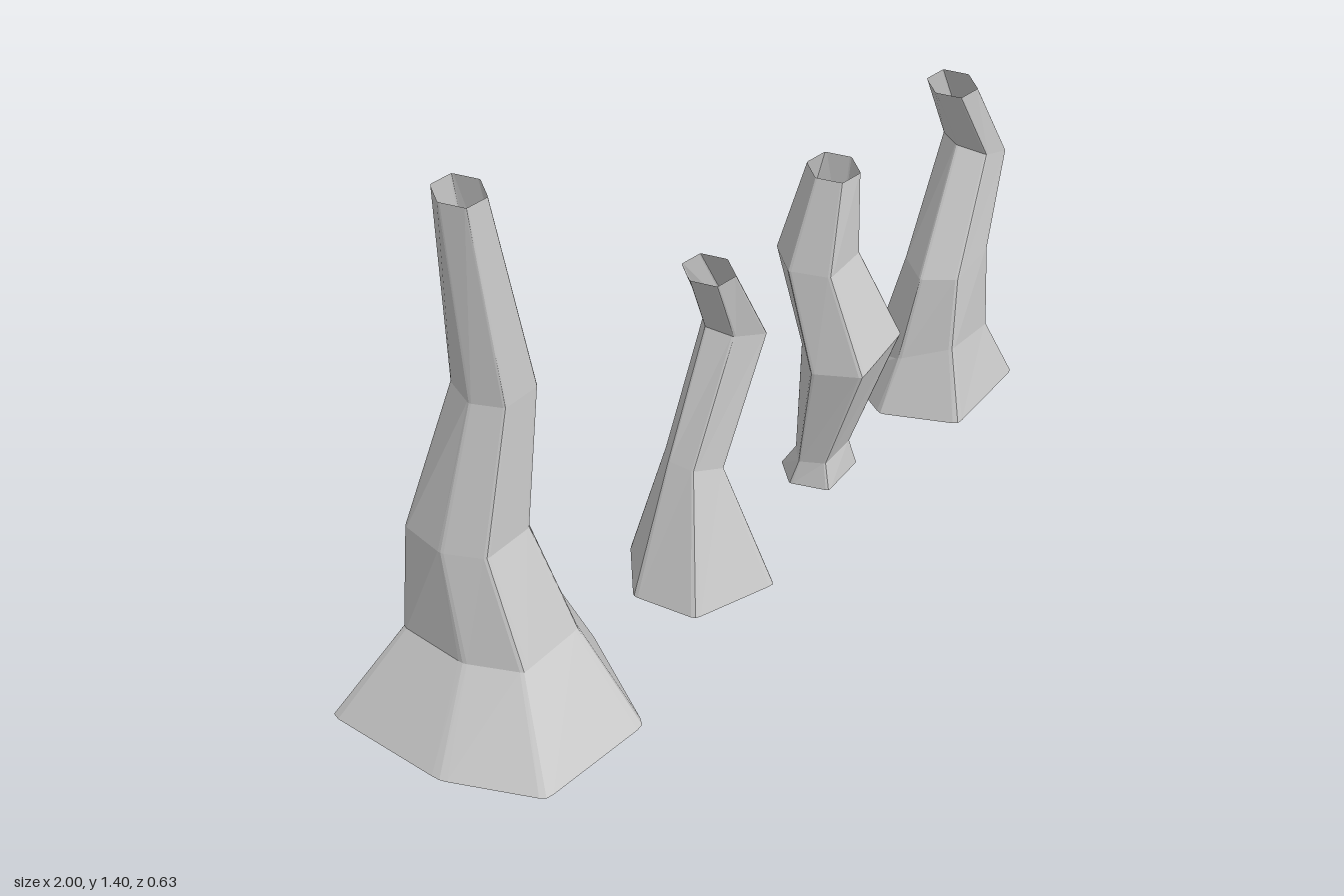
import * as THREE from 'three';

const material = new THREE.MeshStandardMaterial({ color: 0xcccccc, flatShading: true, side: THREE.DoubleSide });

// Scale an outline so that it fills the unit square
function normalise(points) {
  const box = new THREE.Box2().setFromPoints(points);
  const size = box.getSize(new THREE.Vector2());
  return points.map(p => p.clone().sub(box.min).divide(size));
}

const hexagon = normalise([0, 1, 2, 3, 4, 5].map(i =>
  new THREE.Vector2(-Math.cos(i * Math.PI / 3), -Math.sin(i * Math.PI / 3))));

// Replace each corner of a closed ring by a small three-point bevel
function bevelCorners(ring) {
  const n = ring.length, out = [];
  ring.forEach((p, i) => {
    const a = p.clone().lerp(ring[(i + n - 1) % n], 0.07);
    const b = p.clone().lerp(ring[(i + 1) % n], 0.07);
    const mid = a.clone().add(b).multiplyScalar(0.5).lerp(p, 0.6);
    out.push(a, mid, b);
  });
  return out;
}

// base: six ground points [x, z]
// rings: [y at left, y at right, xMin, xMax, zMin, zMax, rise toward the front]
function trunk(name, base, rings) {
  const ground = base.map(([x, z]) => new THREE.Vector2(x, z));
  const unit = normalise(ground);
  const loops = [ground.map(p => new THREE.Vector3(p.x, 0, p.y))];
  rings.forEach(([yl, yr, x0, x1, z0, z1, rise = 0], k) => {
    const blend = ((k + 1) / rings.length) ** 2;
    loops.push(unit.map((p, i) => {
      const q = p.clone().lerp(hexagon[i], blend);
      const y = THREE.MathUtils.lerp(yl, yr, q.x) + rise * (q.y - 0.5);
      return new THREE.Vector3(
        THREE.MathUtils.lerp(x0, x1, q.x), y, THREE.MathUtils.lerp(z0, z1, q.y));
    }));
  });

  const bevelled = loops.map(bevelCorners);
  const n = bevelled[0].length, index = [];
  for (let k = 0; k < bevelled.length - 1; k++) {
    for (let i = 0; i < n; i++) {
      const a = k * n + i, b = k * n + (i + 1) % n;
      index.push(b, a, a + n, b, a + n, b + n);
    }
  }
  const geometry = new THREE.BufferGeometry().setFromPoints(bevelled.flat());
  geometry.setIndex(index);
  geometry.computeVertexNormals();
  const mesh = new THREE.Mesh(geometry, material);
  mesh.name = name;
  return mesh;
}

export function createModel() {
  const group = new THREE.Group();
  group.name = 'hollowTrunks';

  // Tall trunk with a wide flared foot
  group.add(trunk('tallTrunk',
    [[-0.965, 0.11], [-1.005, -0.215], [-0.575, -0.28], [-0.405, -0.02], [-0.525, 0.29], [-0.835, 0.315]],
    [
      [0.22, 0.25, -0.855, -0.525, -0.17, 0.17],
      [0.50, 0.52, -0.845, -0.595, -0.15, 0.08],
      [0.87, 0.885, -0.75, -0.57, -0.085, 0.075],
      [1.4, 1.4, -0.785, -0.672, -0.065, 0.048],
    ]));

  // Slim crooked trunk
  group.add(trunk('crookedTrunk',
    [[-0.255, -0.04], [-0.14, -0.175], [0.02, -0.135], [0.05, -0.01], [0.01, 0.155], [-0.205, 0.115]],
    [
      [0.35, 0.31, -0.15, -0.03, -0.085, 0.045],
      [0.69, 0.63, -0.05, 0.105, -0.07, 0.055],
      [0.88, 0.88, -0.13, -0.017, -0.032, 0.082],
    ]));

  // Bulging trunk on a small foot
  group.add(trunk('bulgingTrunk',
    [[0.287, -0.08], [0.33, -0.15], [0.41, -0.155], [0.463, -0.095], [0.46, -0.025], [0.335, 0.005]],
    [
      [0.07, 0.08, 0.3, 0.44, -0.11, -0.01],
      [0.38, 0.43, 0.278, 0.514, -0.1, 0.1],
      [0.64, 0.66, 0.273, 0.453, -0.165, 0.012],
      [0.88, 0.88, 0.337, 0.453, -0.117, -0.003],
    ]));

  // Bent trunk with a broad foot that is lower at the back
  group.add(trunk('bentTrunk',
    [[0.63, -0.115], [0.69, -0.3], [0.885, -0.315], [0.965, -0.2], [0.99, -0.01], [0.74, 0.045]],
    [
      [0.135, 0.125, 0.685, 0.92, -0.25, 0, 0.13],
      [0.37, 0.41, 0.73, 0.917, -0.178, -0.018],
      [0.68, 0.63, 0.872, 1.005, -0.193, -0.057],
      [0.88, 0.88, 0.777, 0.888, -0.163, -0.052],
    ]));

  return group;
}
